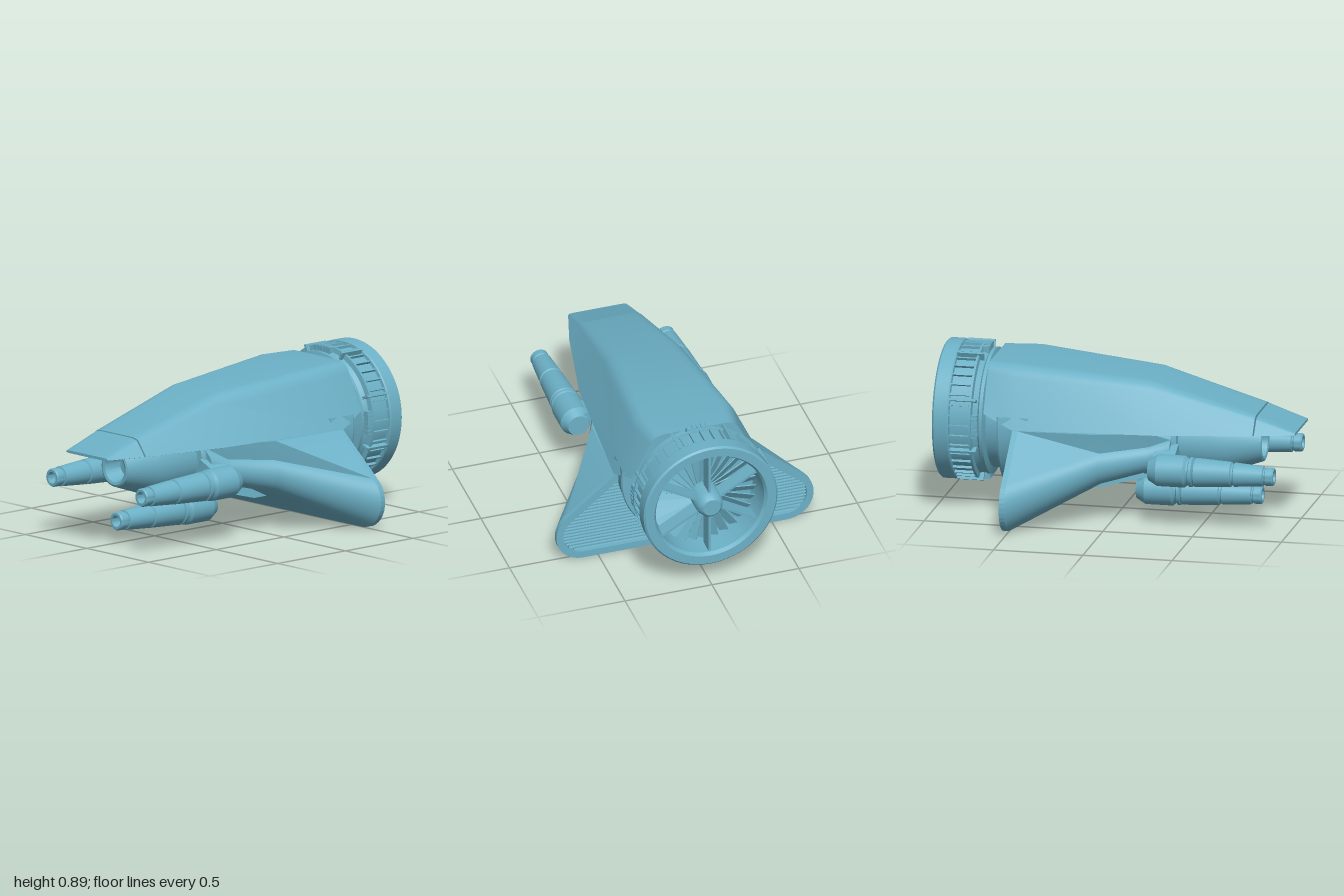
import * as THREE from 'three';
import { toCreasedNormals } from 'three/addons/utils/BufferGeometryUtils.js';

const paint = new THREE.MeshStandardMaterial({ color: 0x6cb0c6 });
paint.name = 'steel blue';

function part(name, geometry, parent, x = 0, y = 0, z = 0) {
  const mesh = new THREE.Mesh(geometry, paint);
  mesh.name = name;
  mesh.position.set(x, y, z);
  parent.add(mesh);
  return mesh;
}

// Revolve [radius, z] points, listed from back to front, around the z axis
function lathe(profile, segments = 48, start = 0, length = Math.PI * 2) {
  const pts = profile.map(([r, z]) => new THREE.Vector2(r, z));
  const g = new THREE.LatheGeometry(pts, segments, start, length).rotateX(Math.PI / 2);
  return toCreasedNormals(g, 0.5);
}

// Skin mirrored half sections (bottom to top on the +x side), ordered back to front, with end caps
function loft(halves) {
  const rings = halves.map(h => [...h, ...h.map(([x, y, z]) => [-x, y, z]).reverse()]);
  const n = rings[0].length, pos = rings.flat(2), idx = [];
  for (let s = 0; s < rings.length - 1; s++) {
    for (let i = 0; i < n; i++) {
      const a = s * n + i, b = s * n + (i + 1) % n;
      idx.push(a, b, b + n, a, b + n, a + n);
    }
  }
  [0, rings.length - 1].forEach(s => {
    const center = pos.length / 3;
    for (let k = 0; k < 3; k++) pos.push(rings[s].reduce((t, p) => t + p[k], 0) / n);
    for (let i = 0; i < n; i++) {
      const a = s * n + i, b = s * n + (i + 1) % n;
      idx.push(center, s ? a : b, s ? b : a);
    }
  });
  const g = new THREE.BufferGeometry();
  g.setAttribute('position', new THREE.Float32BufferAttribute(pos, 3));
  g.setIndex(idx);
  return toCreasedNormals(g, 0.35);
}

// Shell section: sloping side, rounded shoulder, flat roof
function shellSection(wb, yb, zb, wt, yt, zt) {
  const base = new THREE.Vector3(wb, yb, zb), corner = new THREE.Vector3(wt, yt, zt);
  const curve = new THREE.QuadraticBezierCurve3(
    corner.clone().lerp(base, 0.2), corner, new THREE.Vector3(wt - 0.055, yt, zt));
  return [[wb - 0.02, yb - 0.005, zb], [wb, yb, zb], ...curve.getPoints(6).map(p => p.toArray())];
}

// Lower hull half outline: flat belly, round wing tip, slope up to the shell
const SLOPE = THREE.MathUtils.degToRad(55);
function wingSection(cx, cy, r, topX, topY, z) {
  const pts = [];
  for (let i = 0; i <= 14; i++) {
    const a = -Math.PI / 2 + (SLOPE + Math.PI / 2) * i / 14;
    pts.push([cx + r * Math.cos(a), cy + r * Math.sin(a), z]);
  }
  pts.push([topX, topY, z]);
  return pts;
}

// Closed mirrored outline as 2D points
function outline(half) {
  const right = half.map(([x, y]) => new THREE.Vector2(x, y));
  return [...right, ...half.map(([x, y]) => new THREE.Vector2(-x, y)).reverse()];
}

// Place copies of a part around the z axis; local y points outward
function around(name, count, geometry, parent, radius, z, tilt = 0, offset = 0) {
  for (let i = 0; i < count; i++) {
    const arm = new THREE.Group();
    arm.name = name;
    arm.rotation.z = offset + i * Math.PI * 2 / count;
    part(name, geometry, arm, 0, radius, z).rotation.y = tilt;
    parent.add(arm);
  }
}

export function createModel() {
  const model = new THREE.Group();
  model.name = 'spacecraft';

  // Faceted upper shell and separate nose panel
  part('upperShell', loft([
    shellSection(0.36, 0.585, -0.7, 0.23, 0.84, -0.7),
    shellSection(0.41, 0.515, -0.53, 0.26, 0.84, -0.5),
    shellSection(0.34, 0.515, 0.29, 0.2, 0.78, 0.19),
    shellSection(0.237, 0.515, 0.778, 0.165, 0.61, 0.778),
  ]), model);
  part('nosePanel', loft([
    shellSection(0.234, 0.515, 0.786, 0.163, 0.606, 0.786),
    shellSection(0.17, 0.515, 1, 0.16, 0.525, 1),
  ]), model);

  // Lower hull flaring back into the wings
  const tail = wingSection(0.585, 0.155, 0.155, 0.4, 0.51, -0.5);
  part('wingHull', loft([
    tail,
    wingSection(0.31, 0.32, 0.1, 0.38, 0.51, -0.05),
    wingSection(0.22, 0.36, 0.08, 0.28, 0.51, 0.2),
    wingSection(0.19, 0.4, 0.08, 0.2, 0.5, 0.32),
  ]), model);

  // Rim and louvres on the rear of the wings
  const rim = new THREE.Shape(outline(tail));
  rim.holes.push(new THREE.Path(outline(wingSection(0.585, 0.155, 0.115, 0.38, 0.47, 0))));
  part('wingRim', new THREE.ExtrudeGeometry(rim, { depth: 0.03, bevelEnabled: false }), model, 0, 0, -0.53);
  for (let y = 0.052; y < 0.46; y += 0.02) {
    const half = y < 0.249
      ? 0.585 + Math.sqrt(Math.max(0, 0.115 ** 2 - (y - 0.155) ** 2))
      : 0.651 - (y - 0.249) * 1.226;
    part('louvre', new THREE.BoxGeometry(half * 2, 0.009, 0.022), model, 0, y, -0.509).rotation.x = 0.4;
  }

  // Belly keel
  const keelSection = (w, y, z) => [[w, y, z], [w - 0.02, 0.34, z]];
  part('keel', loft([
    keelSection(0.15, 0.15, -0.24), keelSection(0.15, 0.15, -0.1), keelSection(0.13, 0.245, 0.25),
  ]), model);
  part('lowerGunMount', new THREE.BoxGeometry(0.1, 0.09, 0.14), model, 0, 0.215, 0.16);

  // Central nose barrel with a hollow muzzle
  part('noseBarrel', lathe([
    [0, 0.15], [0.225, 0.15], [0.225, 0.33], [0.215, 0.345], [0.183, 0.35], [0.18, 0.56],
    [0.165, 0.62], [0.105, 0.795], [0.095, 0.8], [0.08, 0.795], [0.058, 0.7], [0, 0.7],
  ]), model, 0, 0.42, 0);

  // Three stepped guns
  const gun = lathe([
    [0, 0.23], [0.06, 0.23], [0.088, 0.28], [0.088, 0.43], [0.08, 0.44], [0.074, 0.445],
    [0.074, 0.455], [0.082, 0.46], [0.082, 0.475], [0.073, 0.48], [0.08, 0.49], [0.069, 0.69],
    [0.06, 0.695], [0.06, 0.705], [0.067, 0.71], [0.055, 0.87], [0.046, 0.873], [0.046, 0.88],
    [0.051, 0.885], [0.051, 0.922], [0.045, 0.93], [0.032, 0.93], [0.026, 0.87], [0, 0.87],
  ], 32);
  part('lowerGun', gun, model, 0, 0.12, -0.145);
  [-1, 1].forEach(s => {
    part('sideGun', gun, model, s * 0.362, 0.328, 0);
    const mount = part('sideGunMount', new THREE.BoxGeometry(0.16, 0.08, 0.12), model, s * 0.27, 0.37, 0.3);
    mount.rotation.z = -s * 0.43;
  });

  // Collar below the tail of the shell
  part('tailCollar', lathe([
    [0, -0.62], [0.39, -0.62], [0.395, -0.61], [0.385, -0.54], [0.385, -0.45], [0, -0.45],
  ], 48, -1.75, 3.5), model, 0, 0.51, 0);

  // Ducted fan
  const fan = new THREE.Group();
  fan.name = 'fan';
  fan.position.y = 0.51;
  model.add(fan);
  part('shroud', lathe([
    [0, -0.8], [0.3, -0.8], [0.312, -0.965], [0.325, -0.985], [0.375, -0.985], [0.385, -0.975],
    [0.385, -0.9], [0.38, -0.893], [0.362, -0.89], [0.362, -0.785], [0.378, -0.782], [0.378, -0.77],
    [0.35, -0.765], [0.335, -0.74], [0.348, -0.73], [0.348, -0.712], [0.31, -0.7], [0.31, -0.6], [0, -0.6],
  ], 72), fan);
  around('shroudRib', 40, new THREE.BoxGeometry(0.009, 0.02, 0.11), fan, 0.367, -0.838);
  around('shroudBracket', 8, new THREE.BoxGeometry(0.014, 0.045, 0.15), fan, 0.367, -0.82, 0, Math.PI / 8);
  around('clamp', 4, new THREE.BoxGeometry(0.13, 0.03, 0.03), fan, 0.36, -0.75);
  [-2, -1, 0, 1, 2].forEach(i =>
    around('clampTooth', 4, new THREE.BoxGeometry(0.014, 0.04, 0.036), fan, 0.36, -0.75, 0, i * 0.065));
  around('fanBlade', 30, new THREE.BoxGeometry(0.055, 0.25, 0.006), fan, 0.185, -0.835, 0.6);
  around('fanStrut', 6, new THREE.BoxGeometry(0.014, 0.25, 0.085), fan, 0.19, -0.915);
  part('hub', lathe([
    [0, -1], [0.05, -1], [0.065, -0.985], [0.078, -0.95], [0.078, -0.79], [0, -0.79],
  ], 32), fan);

  return model;
}
